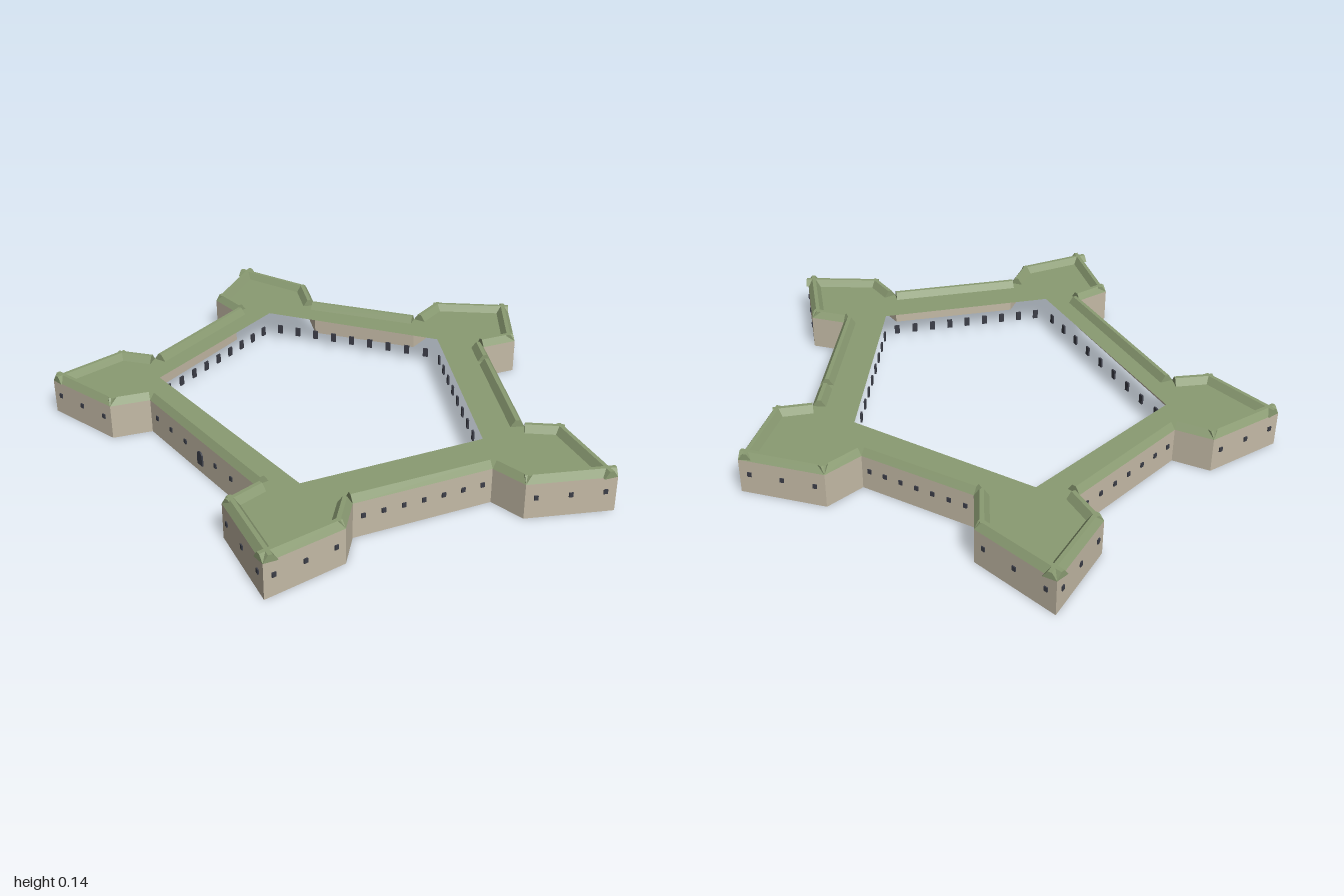
import * as THREE from 'three';

const ROOF = 0.117, TOP = 0.14;

// Outer trace, clockwise from above: neck, shoulder, tip, shoulder, neck per bastion
const outline = [
  [[-0.195, -0.55], [-0.225, -0.69], [-0.01, -0.875], [0.19, -0.67], [0.145, -0.55]],
  [[0.605, -0.2], [0.7, -0.28], [0.985, -0.16], [0.825, 0.07], [0.7, 0.07]],
  [[0.545, 0.5], [0.62, 0.6], [0.585, 0.87], [0.285, 0.765], [0.28, 0.635]],
  [[-0.36, 0.545], [-0.415, 0.665], [-0.705, 0.695], [-0.71, 0.415], [-0.6, 0.35]],
  [[-0.715, -0.11], [-0.85, -0.125], [-0.99, -0.39], [-0.685, -0.455], [-0.55, -0.37]],
].flat();

const courtyard = [[-0.015, -0.48], [0.565, -0.045], [0.36, 0.535], [-0.47, 0.425], [-0.615, -0.195]];

export function createModel() {
  const stone = new THREE.MeshStandardMaterial({ name: 'stone', color: 0xc4baa6, side: THREE.DoubleSide });
  const grass = new THREE.MeshStandardMaterial({ name: 'grass', color: 0x8a9b72, side: THREE.DoubleSide });
  const dark = new THREE.MeshStandardMaterial({ name: 'darkOpening', color: 0x3c3e48 });

  const fort = new THREE.Group();
  fort.name = 'starFort';

  const add = (parent, name, geometry, material, x = 0, y = 0, z = 0) => {
    const mesh = new THREE.Mesh(geometry, material);
    mesh.name = name;
    mesh.position.set(x, y, z);
    parent.add(mesh);
    return mesh;
  };

  // Frame along an edge: local x runs along it, local z points into the fort
  const edgeFrame = (name, a, b) => {
    const dx = b[0] - a[0], dz = b[1] - a[1];
    const group = new THREE.Group();
    group.name = name;
    group.position.set(a[0], 0, a[1]);
    group.rotation.y = Math.atan2(-dz, dx);
    fort.add(group);
    return { group, length: Math.hypot(dx, dz) };
  };

  // Flat rampart roof around the open courtyard
  const toVectors = (pts) => pts.map(([x, z]) => new THREE.Vector2(x, -z));
  const roofShape = new THREE.Shape(toVectors(outline));
  roofShape.holes.push(new THREE.Path(toVectors(courtyard)));
  const roof = new THREE.ShapeGeometry(roofShape);
  roof.rotateX(-Math.PI / 2);
  add(fort, 'rampartRoof', roof, grass, 0, ROOF, 0);

  // Earth parapet with sloping sides
  const bankShape = new THREE.Shape([
    new THREE.Vector2(-0.045, ROOF), new THREE.Vector2(0, ROOF),
    new THREE.Vector2(-0.016, TOP), new THREE.Vector2(-0.029, TOP),
  ]);
  const addBank = (group, from, to) => {
    const bank = new THREE.ExtrudeGeometry(bankShape, { depth: to - from, bevelEnabled: false });
    bank.rotateY(Math.PI / 2);
    add(group, 'parapet', bank, grass, from);
  };

  // Arched gate plate
  const gateShape = new THREE.Shape();
  gateShape.moveTo(-0.015, 0.03);
  gateShape.lineTo(0.015, 0.03);
  gateShape.lineTo(0.015, 0.062);
  gateShape.absarc(0, 0.062, 0.015, 0, Math.PI, false);
  const gateGeometry = new THREE.ExtrudeGeometry(gateShape, { depth: 0.006, bevelEnabled: false, curveSegments: 8 });

  const loopholeGeometry = new THREE.BoxGeometry(0.013, 0.015, 0.006);
  const curtainSpots = Array.from({ length: 7 }, (_, i) => (i + 0.5) / 7);
  const faceSpots = [0.12, 0.5, 0.88];

  // Outer walls with their parapets and loopholes
  outline.forEach((a, i) => {
    const b = outline[(i + 1) % outline.length];
    const kind = i % 5;
    const isCurtain = kind === 4, isFace = kind === 1 || kind === 2;
    const name = isCurtain ? 'curtainWall' : isFace ? 'bastionFace' : 'bastionFlank';
    const { group, length } = edgeFrame(name, a, b);

    const wall = new THREE.PlaneGeometry(length, ROOF);
    wall.rotateY(Math.PI);
    add(group, 'wall', wall, stone, length / 2, ROOF / 2, 0);

    // The back right curtain has a narrow break in its parapet
    if (i === 4) {
      addBank(group, 0, 0.11);
      addBank(group, 0.135, length);
    } else addBank(group, 0, length);

    const spots = isCurtain ? curtainSpots : isFace ? faceSpots : [];
    spots.forEach((t, k) => {
      if (i === 14 && k === 3) add(group, 'gate', gateGeometry, dark, t * length, 0, -0.005);
      else add(group, 'loophole', loopholeGeometry, dark, t * length, 0.07, -0.001);
    });
  });

  // Row of openings along each courtyard side
  const openingGeometry = new THREE.BoxGeometry(0.018, 0.032, 0.006);
  courtyard.forEach((a, i) => {
    const { group, length } = edgeFrame('courtyardSide', a, courtyard[(i + 1) % 5]);
    for (let k = 0; k < 9; k++) {
      add(group, 'courtyardOpening', openingGeometry, dark, (length * (k + 0.6)) / 9.2, 0.057, 0);
    }
  });

  return fort;
}
